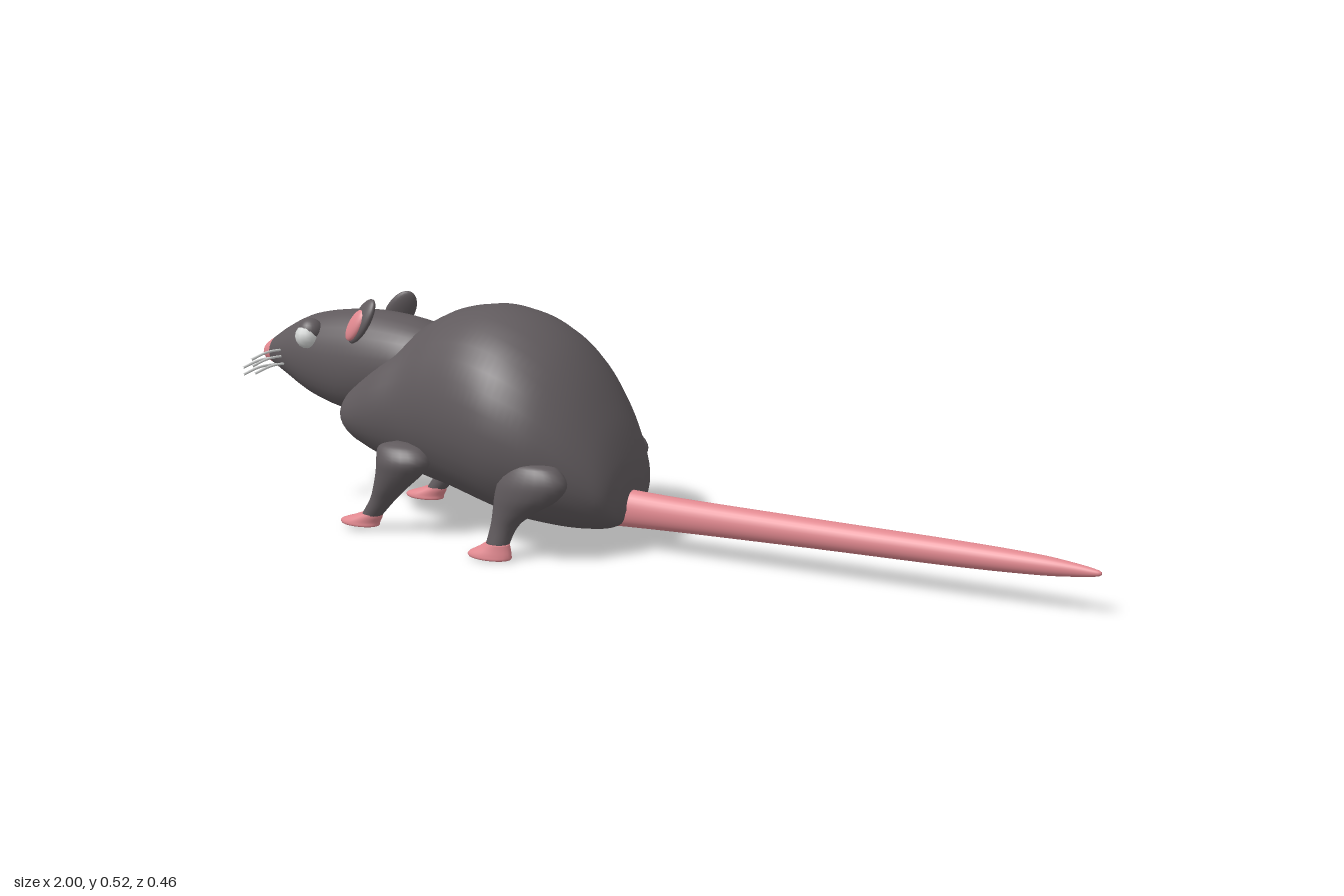
import * as THREE from 'three';

const mat = (name, color) => {
  const m = new THREE.MeshStandardMaterial({ color });
  m.name = name;
  return m;
};

// Smooth skin through elliptical sections [cx, cy, cz, ru, rv]; u x v must point along the run.
// The first splitAt spans go to material group 0, the rest to group 1.
function loft(sections, u, v, splitAt = 0, sides = 32, sub = 5) {
  const centres = new THREE.CatmullRomCurve3(sections.map(s => new THREE.Vector3(s[0], s[1], s[2])), false, 'catmullrom');
  const radii = new THREE.CatmullRomCurve3(sections.map(s => new THREE.Vector3(s[3], s[4], 0)), false, 'catmullrom');
  const rows = (sections.length - 1) * sub;
  const pos = [], idx = [];
  for (let i = 0; i <= rows; i++) {
    const c = centres.getPoint(i / rows), r = radii.getPoint(i / rows);
    for (let j = 0; j < sides; j++) {
      const a = (j / sides) * Math.PI * 2;
      const p = c.clone()
        .addScaledVector(u, Math.cos(a) * Math.max(r.x, 0.001))
        .addScaledVector(v, Math.sin(a) * Math.max(r.y, 0.001));
      pos.push(p.x, p.y, p.z);
    }
  }
  const start = pos.length / 3, end = start + 1, last = sections[sections.length - 1];
  pos.push(...sections[0].slice(0, 3), ...last.slice(0, 3));
  for (let j = 0; j < sides; j++) idx.push(start, (j + 1) % sides, j);
  for (let i = 0; i < rows; i++) {
    for (let j = 0; j < sides; j++) {
      const k = (j + 1) % sides, a = i * sides, b = a + sides;
      idx.push(a + j, a + k, b + j, a + k, b + k, b + j);
    }
  }
  for (let j = 0; j < sides; j++) idx.push(end, rows * sides + j, rows * sides + (j + 1) % sides);
  const g = new THREE.BufferGeometry();
  g.setAttribute('position', new THREE.Float32BufferAttribute(pos, 3));
  g.setIndex(idx);
  g.computeVertexNormals();
  if (splitAt) {
    const n = sides * 3 + splitAt * sub * sides * 6;
    g.addGroup(0, n, 0);
    g.addGroup(n, idx.length - n, 1);
  }
  return g;
}

const X = new THREE.Vector3(1, 0, 0), Y = new THREE.Vector3(0, 1, 0), Z = new THREE.Vector3(0, 0, 1);

// Sections along x: [x, bottom, top, half width]
const alongX = (list, split) =>
  loft(list.map(([x, b, t, w]) => [x, (b + t) / 2, 0, (t - b) / 2, w]), Y, Z, split);
// Sections going down: [y, x, z, rx, rz]
const goingDown = (list, side) =>
  loft(list.map(([y, x, z, rx, rz]) => [x, y, z * side, rx, rz]), X, Z, 0, 20, 4);

export function createModel() {
  const fur = mat('dark grey fur', 0x605a5d);
  const pink = mat('pink skin', 0xe0888f);
  const pale = mat('pale grey', 0xd2d4d3);

  const model = new THREE.Group();
  model.name = 'rat';
  const add = (parent, name, geometry, material) => {
    const m = new THREE.Mesh(geometry, material);
    m.name = name;
    parent.add(m);
    return m;
  };

  // Egg-shaped body
  add(model, 'body', alongX([
    [-0.757, 0.237, 0.262, 0.025], [-0.74, 0.21, 0.288, 0.072], [-0.7, 0.175, 0.333, 0.113],
    [-0.62, 0.14, 0.405, 0.14], [-0.53, 0.112, 0.462, 0.152], [-0.45, 0.095, 0.502, 0.176],
    [-0.35, 0.071, 0.52, 0.212], [-0.26, 0.051, 0.503, 0.23], [-0.18, 0.043, 0.457, 0.217],
    [-0.115, 0.041, 0.387, 0.185], [-0.06, 0.048, 0.293, 0.145], [-0.03, 0.065, 0.215, 0.108],
    [-0.018, 0.09, 0.155, 0.055],
  ]), fur);

  // Head with pink nose tip
  add(model, 'head', alongX([
    [-1, 0.354, 0.37, 0.011], [-0.991, 0.343, 0.384, 0.026], [-0.964, 0.332, 0.402, 0.04],
    [-0.92, 0.307, 0.43, 0.055], [-0.85, 0.27, 0.462, 0.075], [-0.75, 0.243, 0.48, 0.09],
    [-0.65, 0.25, 0.482, 0.1], [-0.55, 0.272, 0.468, 0.1], [-0.48, 0.31, 0.44, 0.07],
    [-0.43, 0.36, 0.39, 0.02],
  ], 2), [pink, fur]);

  // Tapering tail with a rounded tip
  add(model, 'tail', alongX([
    [-0.06, 0.05, 0.137, 0.031], [0.1, 0.055, 0.13, 0.03], [0.4, 0.061, 0.124, 0.029],
    [0.7, 0.065, 0.119, 0.026], [0.87, 0.071, 0.113, 0.02], [0.95, 0.078, 0.105, 0.012],
    [0.99, 0.084, 0.098, 0.007], [1, 0.088, 0.094, 0.003],
  ]), pink);

  const ball = new THREE.SphereGeometry(1, 24, 16);
  const eyeBall = new THREE.SphereGeometry(1, 12, 8);

  for (const side of [1, -1]) {
    const label = side > 0 ? 'front' : 'back';

    // Ear: furry shell, swept back, with a pink inner face
    const ear = new THREE.Group();
    ear.name = label + 'SideEar';
    ear.lookAt(-0.45, 0.35, 0.8 * side);
    ear.rotateZ(-0.5 * side);
    ear.position.set(-0.668, 0.468, 0.076 * side);
    add(ear, 'earShell', ball, fur).scale.set(0.033, 0.06, 0.014);
    const inner = add(ear, 'innerEar', ball, pink);
    inner.scale.set(0.025, 0.042, 0.013);
    inner.position.set(0, -0.014, 0.008);
    model.add(ear);

    // Eye under a furry lid
    const lid = add(model, label + 'SideEyelid', ball, fur);
    lid.scale.setScalar(0.029);
    lid.position.set(-0.824, 0.432, 0.059 * side);
    const eye = add(model, label + 'SideEye', eyeBall, pale);
    eye.scale.setScalar(0.028);
    eye.position.set(-0.827, 0.42, 0.07 * side);

    // Gently bowed whiskers
    for (const [x, y] of [[-0.945, 0.354], [-0.945, 0.338], [-0.92, 0.375], [-0.918, 0.36], [-0.912, 0.343]]) {
      const path = new THREE.CatmullRomCurve3([
        new THREE.Vector3(x, y, 0.02 * side), new THREE.Vector3(x, y + 0.005, 0.1 * side),
        new THREE.Vector3(x, y - 0.003, 0.16 * side),
      ]);
      add(model, label + 'SideWhisker', new THREE.TubeGeometry(path, 10, 0.003, 6), pale);
    }

    // Hind leg and foot
    add(model, label + 'SideHindLeg', goingDown([
      [0.222, -0.155, 0.187, 0.018, 0.012], [0.212, -0.155, 0.188, 0.056, 0.03],
      [0.18, -0.158, 0.189, 0.08, 0.042], [0.145, -0.175, 0.188, 0.075, 0.042],
      [0.11, -0.206, 0.187, 0.05, 0.034], [0.075, -0.23, 0.19, 0.031, 0.026],
      [0.028, -0.245, 0.199, 0.026, 0.021],
    ], side), fur);
    add(model, label + 'SideHindFoot', goingDown([
      [0.037, -0.243, 0.198, 0.028, 0.023], [0.026, -0.25, 0.199, 0.038, 0.024],
      [0.012, -0.261, 0.2, 0.052, 0.026], [0.003, -0.262, 0.2, 0.051, 0.026],
      [0, -0.262, 0.2, 0.035, 0.017],
    ], side), pink);

    // Foreleg and foot
    add(model, label + 'SideForeleg', goingDown([
      [0.219, -0.522, 0.148, 0.018, 0.012], [0.208, -0.52, 0.15, 0.055, 0.031],
      [0.18, -0.513, 0.153, 0.066, 0.043], [0.15, -0.526, 0.15, 0.058, 0.04],
      [0.11, -0.557, 0.143, 0.041, 0.032], [0.075, -0.585, 0.136, 0.03, 0.025],
      [0.03, -0.622, 0.132, 0.024, 0.02],
    ], side), fur);
    add(model, label + 'SideForefoot', goingDown([
      [0.04, -0.617, 0.132, 0.026, 0.022], [0.032, -0.628, 0.132, 0.036, 0.024],
      [0.02, -0.648, 0.132, 0.05, 0.026], [0.011, -0.65, 0.132, 0.049, 0.026],
      [0.008, -0.65, 0.132, 0.034, 0.017],
    ], side), pink);
  }
  return model;
}
